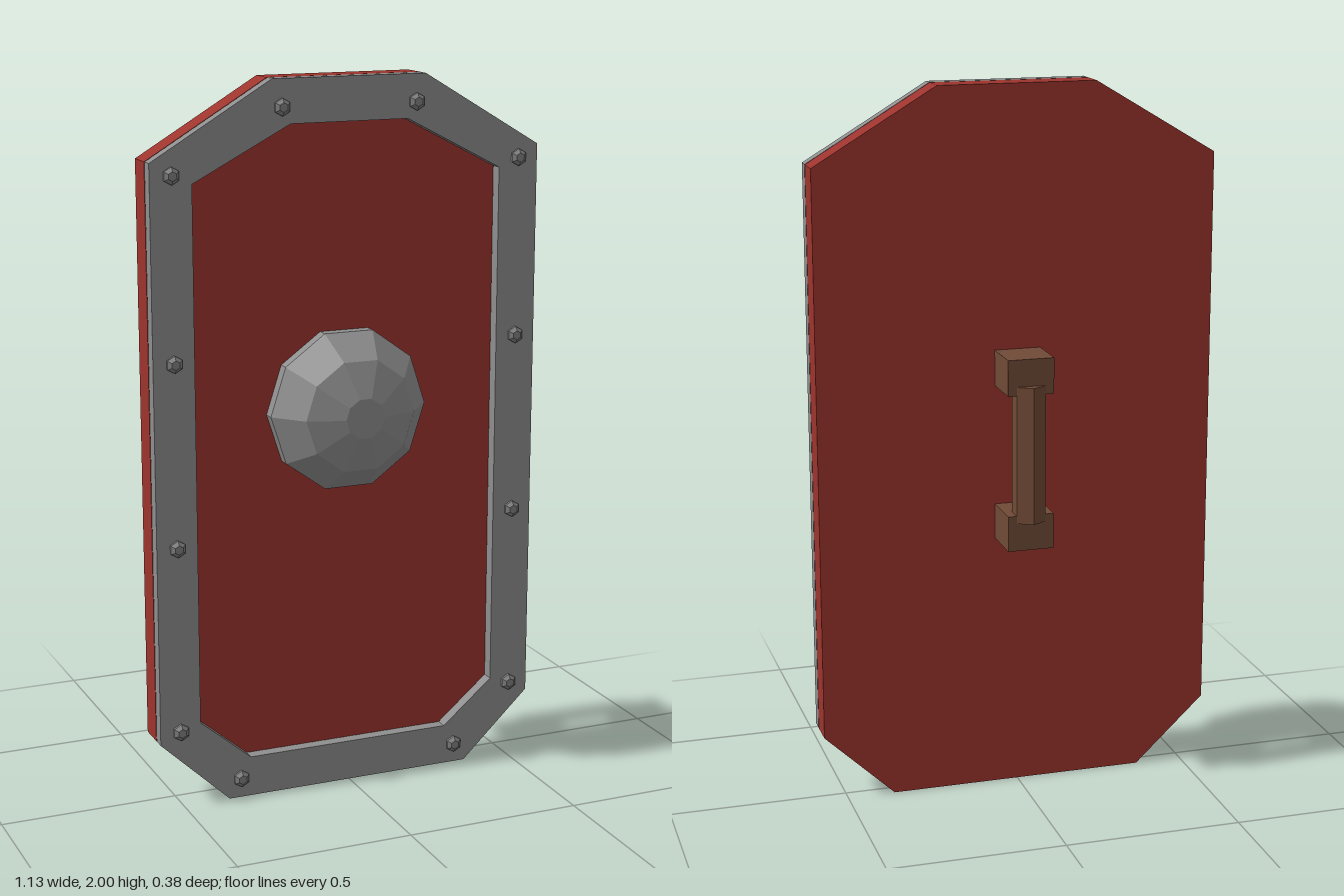
import * as THREE from 'three';

const mat = (name, color, flat = true) => {
  const m = new THREE.MeshStandardMaterial({ color, flatShading: flat });
  m.name = name;
  return m;
};

export function createModel() {
  const red = mat('red paint', 0x9c342d);
  const steel = mat('steel', 0x8e8e8e);
  const rivetSteel = mat('rivet steel', 0x808080);
  const wood = mat('brown wood', 0x704a36);

  const shield = new THREE.Group();
  shield.name = 'shield';
  const add = (name, geometry, material, x = 0, y = 0, z = 0, parent = shield) => {
    const mesh = new THREE.Mesh(geometry, material);
    mesh.name = name;
    mesh.position.set(x, y, z);
    parent.add(mesh);
    return mesh;
  };

  // Right half of an outline from the bottom up, mirrored to close it
  const outline = (half) => [
    ...half,
    ...half.slice().reverse().map(([x, y]) => [-x, y]),
  ].map(([x, y]) => new THREE.Vector2(x, y));
  const outer = outline([[0.365, 0], [0.565, 0.19], [0.565, 1.795], [0.222, 2]]);
  const inner = outline([[0.3, 0.115], [0.448, 0.24], [0.448, 1.735], [0.17, 1.88]]);
  const slab = (shape, depth) =>
    new THREE.ExtrudeGeometry(shape, { depth, bevelEnabled: false });

  // Board
  add('board', slab(new THREE.Shape(outer), 0.075), red, 0, 0, -0.035);

  // Metal rim, a hair in front of the board
  const rimShape = new THREE.Shape(outer);
  rimShape.holes.push(new THREE.Path(inner));
  add('rim', slab(rimShape, 0.035), steel, 0, 0, 0.044);

  // Ten-sided domed boss
  const profile = [[0.23, 0], [0.23, 0.035], [0.16, 0.118], [0.057, 0.152], [0, 0.152]]
    .map(([r, h]) => new THREE.Vector2(r, h));
  const boss = new THREE.LatheGeometry(profile, 10);
  boss.rotateY(Math.PI / 2).rotateX(Math.PI / 2);
  add('boss', boss, steel, 0, 1.088, 0.038);

  // Rivets, mirrored on both sides of the rim
  const rivets = new THREE.Group();
  rivets.name = 'rivets';
  shield.add(rivets);
  const stem = [[0.024, 0], [0.024, 0.008], [0.013, 0.017], [0, 0.017]]
    .map(([r, h]) => new THREE.Vector2(r, h));
  const rivet = new THREE.LatheGeometry(stem, 6).rotateX(Math.PI / 2);
  const spots = [[0.195, 1.925], [0.506, 1.76], [0.506, 1.26], [0.506, 0.75], [0.506, 0.222], [0.33, 0.056]];
  for (const [x, y] of spots) {
    for (const side of [-1, 1]) add('rivet', rivet, rivetSteel, side * x, y, 0.078, rivets);
  }

  // Handle: two blocks and a hexagonal grip
  const handle = new THREE.Group();
  handle.name = 'handle';
  shield.add(handle);
  for (const y of [0.785, 1.225]) {
    add('handleBlock', new THREE.BoxGeometry(0.13, 0.1, 0.13), wood, 0, y, -0.1, handle);
  }
  add('grip', new THREE.CylinderGeometry(0.047, 0.047, 0.385, 6), wood, 0, 1.007, -0.144, handle);

  return shield;
}
